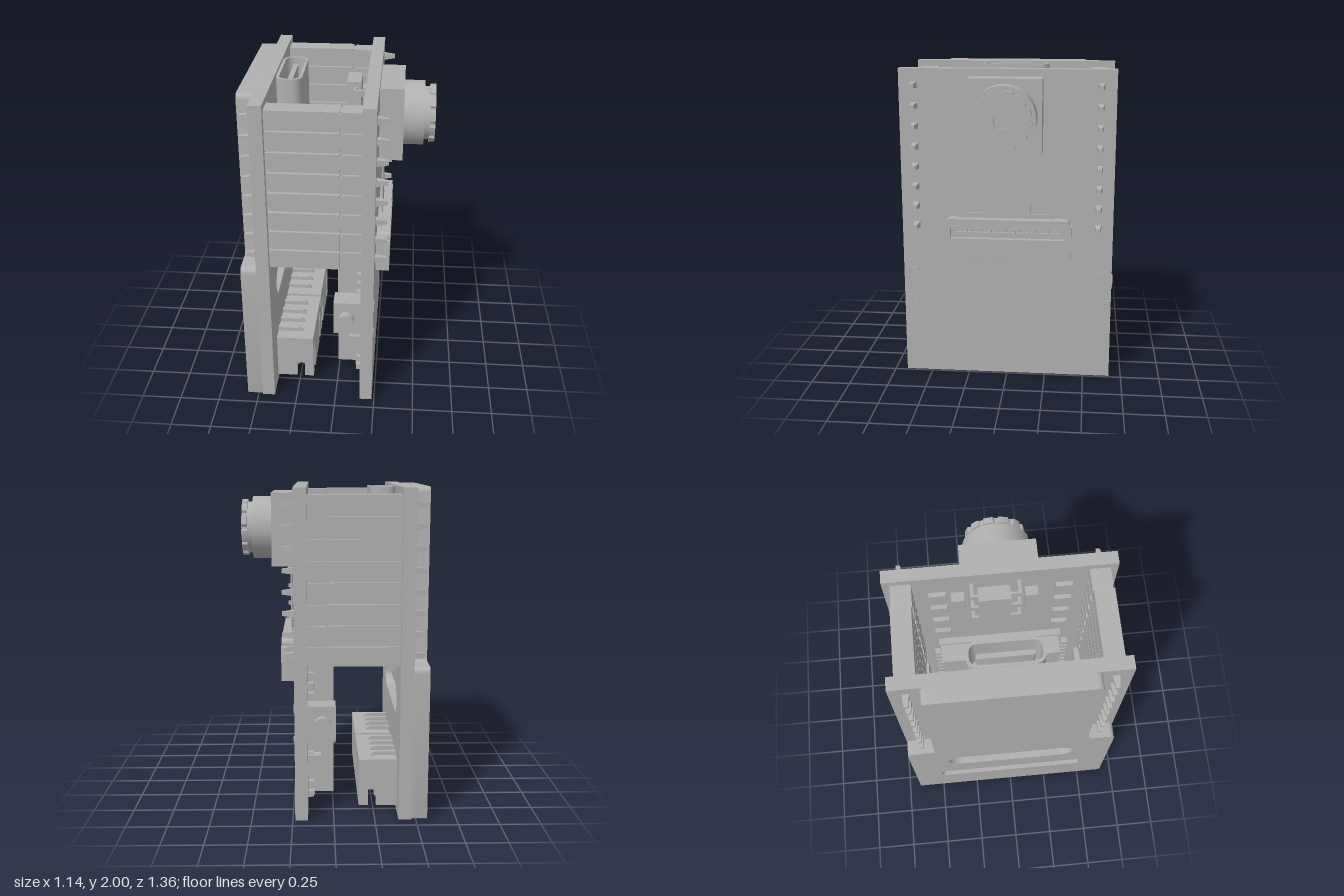
import * as THREE from 'three';
import { toCreasedNormals } from 'three/addons/utils/BufferGeometryUtils.js';

const grey = new THREE.MeshStandardMaterial({ color: 0xb0b0b0 });
grey.name = 'grey';

export function createModel() {
  const model = new THREE.Group();
  model.name = 'stackedBoards';

  const add = (name, geo, parent = model) => {
    const m = new THREE.Mesh(geo, grey);
    m.name = name;
    parent.add(m);
    return m;
  };
  const group = (name) => {
    const g = new THREE.Group();
    g.name = name;
    model.add(g);
    return g;
  };
  // box from its limits on each axis
  const box = (name, x0, x1, y0, y1, z0, z1, parent) => add(name,
    new THREE.BoxGeometry(x1 - x0, y1 - y0, z1 - z0)
      .translate((x0 + x1) / 2, (y0 + y1) / 2, (z0 + z1) / 2), parent);
  // outline with rounded corners, points given as [u, v, radius]
  const outline = (pts, S = THREE.Shape) => {
    const s = new S(), n = pts.length;
    pts.forEach(([x, y, r = 0], i) => {
      const p = pts[(i + n - 1) % n], q = pts[(i + 1) % n];
      const toward = (t) => {
        const d = Math.hypot(t[0] - x, t[1] - y);
        return [x + (t[0] - x) * r / d, y + (t[1] - y) * r / d];
      };
      const a = toward(p), b = toward(q);
      if (i) s.lineTo(...a); else s.moveTo(...a);
      if (r) s.quadraticCurveTo(x, y, ...b);
    });
    s.closePath();
    return s;
  };
  const slot = (u0, u1, v0, v1, r, S) => {
    const s = new S(), k = Math.PI / 2;
    s.moveTo(u0 + r, v0);
    s.absarc(u1 - r, v0 + r, r, -k, 0, false);
    s.absarc(u1 - r, v1 - r, r, 0, k, false);
    s.absarc(u0 + r, v1 - r, r, k, 2 * k, false);
    s.absarc(u0 + r, v0 + r, r, 2 * k, 3 * k, false);
    s.closePath();
    return s;
  };
  const extrude = (shape, depth) => toCreasedNormals(new THREE.ExtrudeGeometry(shape,
    { depth, bevelEnabled: false, curveSegments: 10 }), 0.6);
  // plate lying in the u = -z, v = y plane between two x positions
  const plate = (name, shape, x0, x1, parent) =>
    add(name, extrude(shape, x1 - x0).rotateY(Math.PI / 2).translate(x0, 0, 0), parent);

  // main boards and stepped rear casing with slots
  const W = 0.672;
  box('cameraBoard', 0.157, 0.235, 0, 2, -W, W);
  const upperSlot = () => slot(-0.42, 0.42, 0.59, 0.77, 0.089, THREE.Path);
  const power = outline([[-W, 0], [W, 0], [W, 2], [-W, 2]]);
  power.holes.push(upperSlot());
  plate('powerBoard', power, -0.475, -0.395);
  const casing = outline([[-W, 0, 0.02], [W, 0, 0.02], [W, 0.955, 0.04], [0.495, 0.955, 0.02],
    [0.495, 2, 0.04], [-0.495, 2, 0.04], [-0.495, 0.955, 0.02], [-W, 0.955, 0.04]]);
  casing.holes.push(upperSlot(), slot(-0.49, 0.49, 0.28, 0.4, 0.035, THREE.Path));
  plate('rearCasing', casing, -0.57, -0.475);

  // header stacks joining the boards, with pins poking through
  for (const s of [-1, 1]) {
    const g = group(s > 0 ? 'frontHeader' : 'backHeader');
    const zs = (a, b) => (s > 0 ? [a, b] : [-b, -a]);
    box('headerCore', -0.395, 0.157, 0.955, 1.955, ...zs(0.535, 0.61), g);
    for (let i = 0; i < 8; i++) {
      const y = 1.013 + i * 0.127;
      box('socket', -0.395, 0.028, y - 0.058, y + 0.058, ...zs(0.513, 0.633), g);
      const [z0, z1] = zs(0.507, 0.627);
      const h = 0.054, c = 0.018;
      add('pinBase', extrude(outline([[0.028, y - h + c], [0.046, y - h], [0.157, y - h],
        [0.157, y + h], [0.046, y + h], [0.028, y + h - c]]), z1 - z0).translate(0, 0, z0), g);
      for (const [x, d] of [[0.235, 1], [-0.475, -1]]) {
        const tip = new THREE.CylinderGeometry(0.017, 0.029, 0.07, 4).rotateY(Math.PI / 4)
          .rotateZ(-d * Math.PI / 2).translate(x + d * 0.035, y - 0.003, s * 0.577);
        add('pin', tip.toNonIndexed(), g).geometry.computeVertexNormals();
      }
    }
  }

  // camera: square housing, barrel and scalloped focus ring
  const cam = group('camera'), cy = 1.728;
  box('cameraHousing', 0.235, 0.38, 1.5, 1.955, -0.225, 0.225, cam);
  const drum = (name, r, x0, x1) => add(name, new THREE.CylinderGeometry(r, r, x1 - x0, 48)
    .rotateZ(Math.PI / 2).translate((x0 + x1) / 2, cy, 0), cam);
  drum('lensBarrel', 0.198, 0.38, 0.503);
  drum('lensNeck', 0.163, 0.503, 0.54);
  const ring = new THREE.Shape();
  for (let i = 0; i < 120; i++) {
    const a = i / 120 * Math.PI * 2, r = i % 10 < 3 ? 0.166 : 0.179;
    ring[i ? 'lineTo' : 'moveTo'](Math.cos(a) * r, cy + Math.sin(a) * r);
  }
  ring.closePath();
  ring.holes.push(new THREE.Path().absarc(0, cy, 0.05, 0, Math.PI * 2, true));
  plate('focusRing', ring, 0.535, 0.57, cam);

  // flat cable and its connector
  plate('flatCable', outline([[-0.3, 1.02], [0.3, 1.02], [0.3, 1.1, 0.03], [0.15, 1.1],
    [0.15, 1.51], [-0.15, 1.51], [-0.15, 1.1], [-0.3, 1.1, 0.03]]), 0.255, 0.265);
  const fpc = group('cableConnector');
  const front = outline([[-0.39, 0.81], [0.41, 0.81], [0.41, 1.028, 0.01], [-0.39, 1.028, 0.01]]);
  front.holes.push(outline([[-0.352, 0.945], [0.372, 0.945], [0.372, 1.012], [-0.352, 1.012]], THREE.Path));
  plate('connectorFace', front, 0.285, 0.32, fpc);
  box('connectorBody', 0.235, 0.285, 0.81, 1.028, -0.41, 0.39, fpc);
  plate('connectorLatch', outline([[-0.38, 1.02], [0.4, 1.02], [0.4, 1.07, 0.03], [-0.38, 1.07, 0.03]]),
    0.245, 0.318, fpc);
  box('latchBar', 0.285, 0.305, 0.955, 0.985, -0.34, 0.32, fpc);
  for (let i = 0; i < 20; i++) {
    const z = -0.3 + i * 0.0305;
    box('contact', 0.237, 0.252, 0.78, 0.81, z - 0.006, z + 0.006, fpc);
    box('contactTooth', 0.285, 0.3, 0.985, 1.005, z - 0.006, z + 0.006, fpc);
  }

  // side push buttons and their solder pads
  for (const s of [-1, 1]) {
    const g = group('sideButton');
    const [z0, z1] = s > 0 ? [0.51, 0.632] : [-0.632, -0.51];
    box('buttonBody', -0.012, 0.157, 0.485, 0.71, z0, z1, g);
    add('buttonPlunger', new THREE.CylinderGeometry(0.05, 0.05, 0.06, 24)
      .rotateX(Math.PI / 2).translate(0.068, 0.6, s * 0.652), g);
    for (const d of [-1, 1]) {
      const u = -s * 0.65, v = 0.6 + d * 0.092, p = -s * 0.6, q = 0.6 + d * 0.105;
      plate('pad', slot(u - 0.016, u + 0.016, v - 0.024, v + 0.024, 0.0155, THREE.Shape), 0.235, 0.24, g);
      plate('pad', slot(p - 0.02, p + 0.02, q - 0.012, q + 0.012, 0.0115, THREE.Shape), 0.235, 0.24, g);
    }
  }

  // module and small parts inside the camera board
  box('processorModule', -0.003, 0.115, 0.08, 1.08, -0.4, 0.375);
  box('moduleBase', 0.115, 0.157, 0.06, 1.1, -0.41, 0.39);
  box('tallChip', 0.028, 0.115, 1.5, 1.93, -0.135, 0.05);
  for (const z of [-0.18, 0.095]) {
    for (let i = 0; i < 3; i++) {
      const y = 1.56 + i * 0.15;
      box('chipLeg', 0.085, 0.157, y, y + 0.04, z, z + 0.02);
      box('chipArm', 0.07, 0.085, y, y + 0.04, z < 0 ? z : 0.05, z < 0 ? -0.135 : z + 0.02);
    }
  }
  for (const z of [-0.29, 0.14]) box('capacitor', 0.098, 0.157, 1.55, 1.8, z, z + 0.075);
  for (const s of [-1, 1]) {
    for (let i = 0; i < 14; i++) {
      const y = 0.06 + i * 0.064;
      box('edgeContact', 0.12, 0.157, y, y + 0.04, s * 0.425 - 0.022, s * 0.425 + 0.022);
    }
    box('sideChip', 0.075, 0.157, 0.21, 0.345, s * 0.44 - 0.03, s * 0.44 + 0.03);
    for (let i = 0; i < 4; i++) {
      const y = 1.2 + i * 0.18;
      box('resistor', 0.13, 0.157, y, y + 0.08, s * 0.37 - 0.05, s * 0.37 + 0.05);
    }
  }

  // upright charging port with a hollow mouth and tongue
  const port = group('chargingPort');
  const rim = slot(-0.39, -0.232, -0.205, 0.235, 0.06, THREE.Shape);
  rim.holes.push(slot(-0.372, -0.25, -0.187, 0.217, 0.045, THREE.Path));
  const upright = (name, shape, y0, y1) => add(name, extrude(shape, y1 - y0)
    .rotateX(-Math.PI / 2).translate(0, y0, 0), port);
  upright('portShell', rim, 1.64, 1.99);
  upright('portFloor', slot(-0.385, -0.24, -0.2, 0.23, 0.05, THREE.Shape), 1.64, 1.72);
  upright('portTongue', slot(-0.326, -0.296, -0.15, 0.18, 0.0145, THREE.Shape), 1.72, 1.96);

  // two downward-facing cable sockets with bent pins
  for (const [z0, z1] of [[-0.515, -0.02], [0.005, 0.498]]) {
    const g = group('cableSocket'), zc = (z0 + z1) / 2, t = 0.025;
    box('socketTop', -0.395, -0.158, 0.25, 0.33, z0, z1, g);
    box('socketBack', -0.395, -0.37, 0.03, 0.25, z0, z1, g);
    const end = outline([[-0.37, 0.03], [-0.267, 0.03], [-0.267, 0.135], [-0.217, 0.135],
      [-0.217, 0.03], [-0.158, 0.03], [-0.158, 0.25], [-0.37, 0.25]]);
    for (const z of [z0, z1 - t]) add('socketEnd', extrude(end, t).translate(0, 0, z), g);
    // outer wall split by two keying notches
    for (const [a, b] of [[z0 + t, z0 + 0.06], [z0 + 0.11, z1 - 0.11], [z1 - 0.06, z1 - t]])
      box('socketWall', -0.183, -0.158, 0.03, 0.25, a, b, g);
    for (let i = 0; i < 4; i++) {
      const z = zc + (i - 1.5) * 0.102;
      box('socketPin', -0.285, -0.26, 0.06, 0.25, z - 0.013, z + 0.013, g);
      const leg = outline([[-0.395, 0.33], [-0.232, 0.33], [-0.255, 0.355, 0.015], [-0.395, 0.355]]);
      add('solderLeg', extrude(leg, 0.028).translate(0, 0, z - 0.014), g);
    }
  }

  // small parts on the power board
  box('switchBody', -0.395, -0.36, 0.82, 0.95, 0.28, 0.4);
  box('switchCap', -0.36, -0.335, 0.84, 0.93, 0.3, 0.37);
  box('regulator', -0.395, -0.345, 0.85, 1.02, -0.33, -0.2);
  for (const z of [-0.3, -0.12, 0.08]) box('smallPart', -0.395, -0.365, 1.25, 1.35, z, z + 0.07);

  return model;
}
